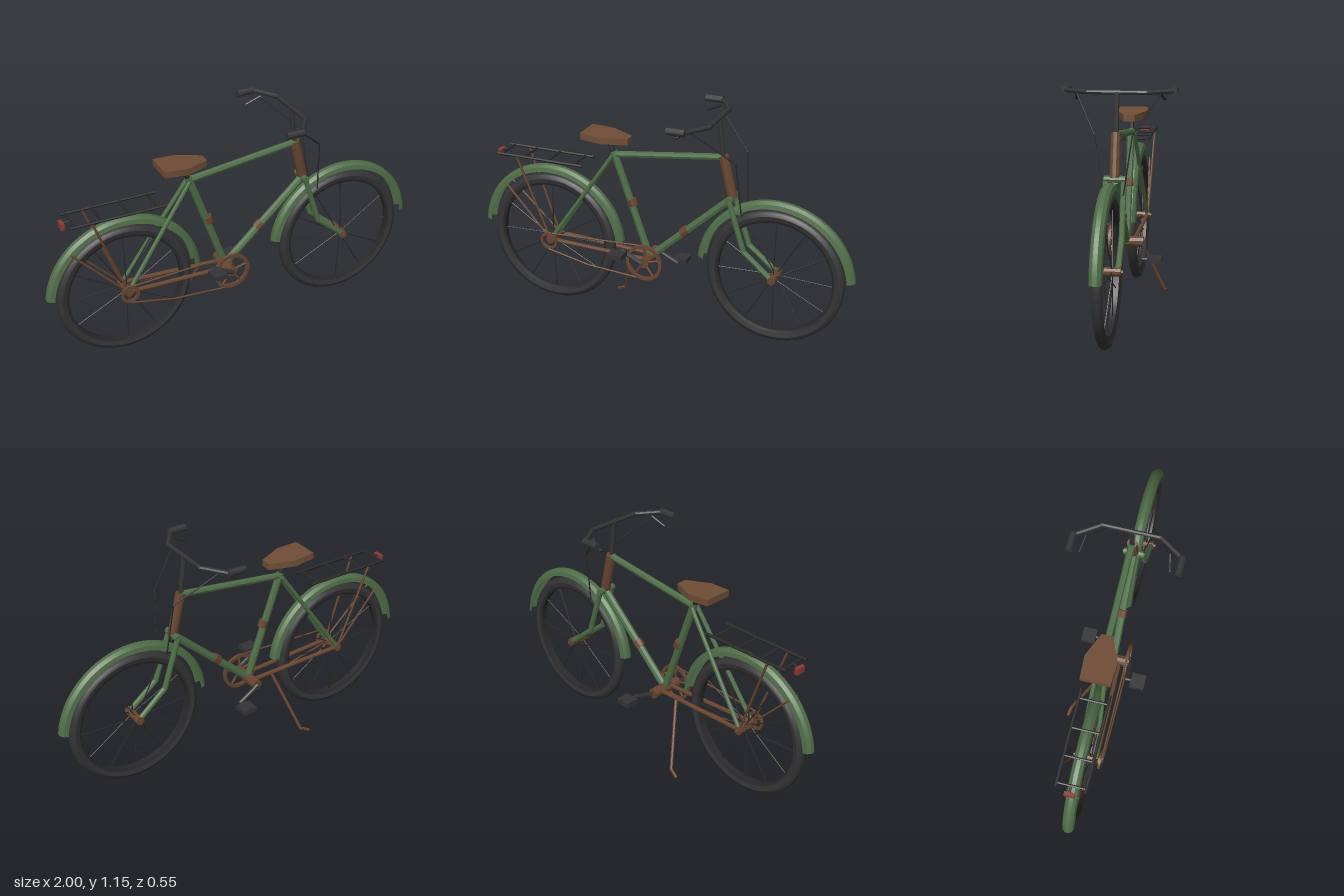
import * as THREE from 'three';
import { toCreasedNormals } from 'three/addons/utils/BufferGeometryUtils.js';

const mat = (name, color, side = THREE.FrontSide) => {
  const m = new THREE.MeshStandardMaterial({ color, side });
  m.name = name;
  return m;
};

export function createModel() {
  const green = mat('green paint', 0x4f6d47, THREE.DoubleSide);
  const brown = mat('brown metal', 0x674530);
  const leather = mat('saddle leather', 0x6f4d36);
  const rubber = mat('dark rubber', 0x343436);
  const black = mat('black metal', 0x29292b);
  const red = mat('red reflector', 0x8c3b36);

  const root = new THREE.Group();
  root.name = 'bicycle';
  const group = (name) => {
    const g = new THREE.Group();
    g.name = name;
    root.add(g);
    return g;
  };
  const add = (parent, name, geo, material) => {
    const m = new THREE.Mesh(toCreasedNormals(geo, 0.6), material);
    m.name = name;
    parent.add(m);
    return m;
  };
  // Straight bar between two points
  const bar = (parent, name, a, b, r, material, sides = 8, rEnd = r) => {
    const A = new THREE.Vector3(...a), B = new THREE.Vector3(...b);
    const d = B.clone().sub(A);
    const m = add(parent, name, new THREE.CylinderGeometry(rEnd, r, d.length(), sides), material);
    m.position.copy(A).add(B).multiplyScalar(0.5);
    m.quaternion.setFromUnitVectors(new THREE.Vector3(0, 1, 0), d.normalize());
    return m;
  };
  // Chain of bars with rounded joints
  const path = (parent, name, pts, r, material, sides = 8) => {
    for (let i = 0; i + 1 < pts.length; i++) {
      bar(parent, name, pts[i], pts[i + 1], r, material, sides);
      if (i > 0) add(parent, name + 'Joint', new THREE.SphereGeometry(r, 8, 6), material).position.set(...pts[i]);
    }
  };
  const box = (parent, name, size, pos, material) => {
    const m = add(parent, name, new THREE.BoxGeometry(...size), material);
    m.position.set(...pos);
    return m;
  };
  // Ring around the z axis from a [radius, z] profile
  const ring = (parent, name, profile, material, segs = 48, start = 0, len = Math.PI * 2) => {
    const pts = profile.map((p) => new THREE.Vector2(...p));
    const geo = new THREE.LatheGeometry(pts, segs, start, len).rotateX(Math.PI / 2);
    return add(parent, name, geo, material);
  };

  const AXLE = 0.355;
  const rear = [-0.6, AXLE], front = [0.6, AXLE], crank = [-0.06, 0.335];

  // Wheels with tyre, rim, spokes, hub and mudguard
  for (const [label, cx] of [['rear', -0.6], ['front', 0.6]]) {
    const w = group(label + 'Wheel');
    w.position.set(cx, AXLE, 0);
    ring(w, 'tyre', [[0.303, -0.02], [0.325, -0.025], [0.341, -0.018], [0.348, -0.007], [0.348, 0.007],
      [0.341, 0.018], [0.325, 0.025], [0.303, 0.02]], rubber);
    ring(w, 'rim', [[0.29, -0.014], [0.307, -0.02], [0.307, 0.02], [0.29, 0.014], [0.29, -0.014]], black);
    for (let i = 0; i < 12; i++) {
      const a = (i / 12) * Math.PI * 2, s = i % 2 ? 1 : -1;
      const c = Math.cos(a), n = Math.sin(a);
      bar(w, 'spoke', [c * 0.015, n * 0.015, s * 0.02], [c * 0.295, n * 0.295, 0], 0.003, black, 5);
    }
    bar(w, 'hub', [0, 0, -0.06], [0, 0, 0.06], 0.021, brown, 10);
    bar(w, 'axle', [0, 0, -0.07], [0, 0, 0.07], 0.01, brown, 8);
    ring(w, 'mudguard', [[0.365, -0.03], [0.387, -0.025], [0.4, -0.01], [0.4, 0.01], [0.387, 0.025], [0.365, 0.03]],
      green, 32, Math.PI / 2 + 0.11, Math.PI - 0.22);
  }

  // Frame
  const frame = group('frame');
  bar(frame, 'topTube', [-0.25, 0.866, 0], [0.325, 0.938, 0], 0.017, green);
  bar(frame, 'seatTube', [...crank, 0], [-0.252, 0.882, 0], 0.019, green);
  bar(frame, 'downTube', [...crank, 0], [0.365, 0.725, 0], 0.02, green);
  bar(frame, 'headTube', [0.372, 0.74, 0], [0.322, 0.945, 0], 0.025, brown, 10);
  bar(frame, 'seatTubeBand', [-0.146, 0.605, 0], [-0.158, 0.64, 0], 0.024, brown);
  bar(frame, 'downTubeBand', [0.115, 0.5, 0], [0.145, 0.527, 0], 0.025, brown);
  bar(frame, 'crownBar', [0.37, 0.735, -0.05], [0.37, 0.735, 0.05], 0.017, green);
  bar(frame, 'bottomBracket', [...crank, -0.088], [...crank, 0.085], 0.027, brown, 10);
  for (const s of [-1, 1]) {
    bar(frame, 'seatStay', [-0.25, 0.865, s * 0.017], [...rear, s * 0.046], 0.011, green);
    bar(frame, 'chainStay', [-0.06, 0.335, s * 0.035], [...rear, s * 0.046], 0.011, brown);
    path(frame, 'forkBlade', [[0.368, 0.735, s * 0.042], [0.45, 0.48, s * 0.043], [...front, s * 0.046]], 0.014, green);
    bar(frame, 'rackStay', [-0.765, 0.8, s * 0.07], [...rear, s * 0.05], 0.006, brown, 6);
    bar(frame, 'mudguardStay', [-0.865, 0.63, s * 0.03], [...rear, s * 0.05], 0.005, brown, 6);
  }

  // Saddle: a tapered slab, slightly raised at the flared back corners
  const seat = group('saddle');
  const plan = new THREE.Shape([[-0.4, -0.072], [-0.285, -0.078], [-0.165, -0.028],
    [-0.165, 0.028], [-0.285, 0.078], [-0.4, 0.072]].map((p) => new THREE.Vector2(...p)));
  const pad = new THREE.ExtrudeGeometry(plan, { depth: 0.033, bevelEnabled: false }).rotateX(-Math.PI / 2);
  const pp = pad.attributes.position;
  for (let i = 0; i < pp.count; i++) {
    const x = pp.getX(i);
    pp.setY(i, pp.getY(i) + 0.939 - (x + 0.28) * 0.06);
  }
  pad.computeVertexNormals();
  add(seat, 'saddlePad', pad, leather);
  bar(seat, 'seatPost', [-0.245, 0.855, 0], [-0.286, 0.955, 0], 0.013, black);

  // Handlebar, grips, levers and cables
  const steering = group('handlebar');
  bar(steering, 'stem', [0.322, 0.93, 0], [0.298, 1.13, 0], 0.0125, rubber);
  path(steering, 'bar', [[0.22, 1.13, -0.255], [0.298, 1.13, -0.14], [0.298, 1.13, 0.14], [0.22, 1.13, 0.255]], 0.011, rubber);
  for (const s of [-1, 1]) {
    bar(steering, 'grip', [0.225, 1.13, s * 0.257], [0.135, 1.13, s * 0.257], 0.018, rubber, 10);
    bar(steering, 'brakeLever', [0.235, 1.12, s * 0.197], [0.16, 1.083, s * 0.213], 0.006, black, 6);
    path(steering, 'brakeCable', [[0.225, 1.115, s * 0.2], [0.413, 0.945, s * 0.087], [0.435, 0.67, s * 0.048]], 0.0035, black, 5);
  }

  // Chainring, sprocket and chain on the left side
  const drive = group('drivetrain');
  const CZ = 0.075;
  ring(drive, 'chainring', [[0.08, -0.007], [0.097, -0.007], [0.097, 0.007], [0.08, 0.007], [0.08, -0.007]], brown, 32)
    .position.set(...crank, CZ);
  for (let i = 0; i < 5; i++) {
    const a = (i / 5) * Math.PI * 2 + 0.3;
    bar(drive, 'chainringArm', [...crank, CZ],
      [crank[0] + 0.086 * Math.cos(a), crank[1] + 0.086 * Math.sin(a), CZ], 0.006, brown, 6);
  }
  ring(drive, 'sprocket', [[0.034, -0.006], [0.047, -0.006], [0.047, 0.006], [0.034, 0.006], [0.034, -0.006]], brown, 24)
    .position.set(...rear, 0.068);
  bar(drive, 'upperChain', [-0.6, 0.402, CZ], [-0.06, 0.428, CZ], 0.0045, brown, 6);
  path(drive, 'lowerChain', [[-0.6, 0.31, CZ], [-0.37, 0.262, CZ], [-0.06, 0.242, CZ]], 0.0045, brown, 6);

  // Cranks and pedals, opposite each other
  for (const s of [-1, 1]) {
    const px = crank[0] - s * 0.112, py = crank[1] + s * 0.06;
    bar(drive, 'crankArm', [...crank, s * 0.092], [px, py, s * 0.1], 0.012, rubber);
    bar(drive, 'pedalAxle', [px, py, s * 0.09], [px, py, s * 0.13], 0.008, rubber);
    box(drive, 'pedal', [0.076, 0.024, 0.072], [px, py, s * 0.156], rubber);
  }

  // Luggage rack and reflector
  const rack = group('rack');
  for (const s of [-1, 1]) bar(rack, 'rail', [-0.872, 0.803, s * 0.07], [-0.395, 0.803, s * 0.07], 0.0075, black, 6);
  for (const x of [-0.85, -0.72, -0.585, -0.44]) bar(rack, 'crossBar', [x, 0.803, -0.072], [x, 0.803, 0.072], 0.006, black, 6);
  box(rack, 'reflector', [0.018, 0.032, 0.05], [-0.89, 0.788, 0], red);
  bar(rack, 'reflectorBracket', [-0.89, 0.797, 0], [-0.85, 0.803, 0], 0.005, black, 6);

  // Kickstand leaning out to the right
  path(group('kickstand'), 'kickstandLeg',
    [[-0.18, 0.335, -0.045], [-0.278, 0.03, -0.175], [-0.325, 0.008, -0.186]], 0.008, brown, 6);

  return root;
}
